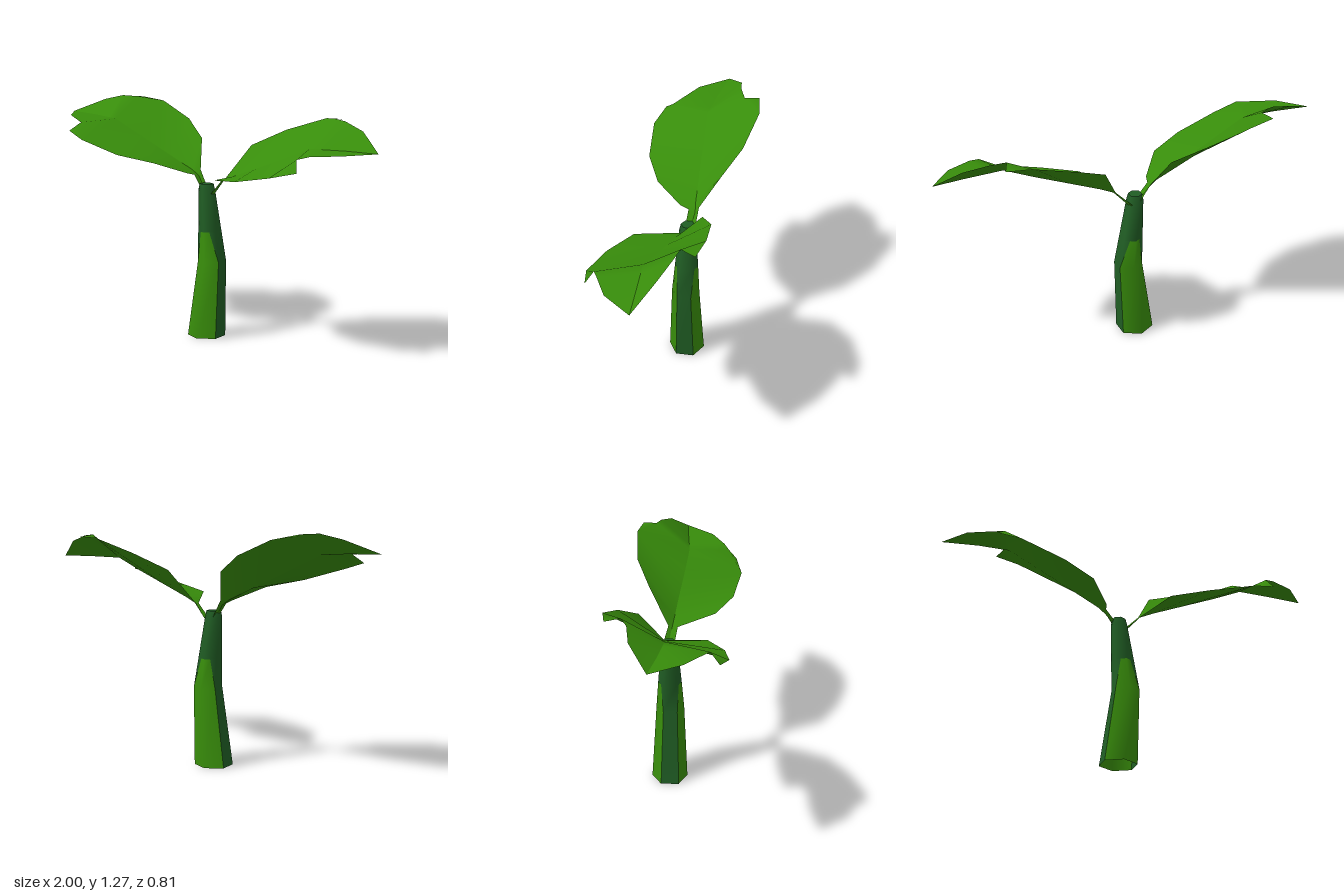
import * as THREE from 'three';
import { mergeVertices } from 'three/addons/utils/BufferGeometryUtils.js';

const leafGreen = new THREE.MeshStandardMaterial({ color: 0x388d0b, side: THREE.DoubleSide });
leafGreen.name = 'leafGreen';
const stemGreen = new THREE.MeshStandardMaterial({ color: 0x205d24, side: THREE.DoubleSide });
stemGreen.name = 'stemGreen';

function meshFrom(triangles, material, name) {
  const raw = new THREE.BufferGeometry();
  raw.setAttribute('position', new THREE.Float32BufferAttribute(triangles.flat(2), 3));
  const geo = mergeVertices(raw);
  geo.computeVertexNormals();
  const mesh = new THREE.Mesh(geo, material);
  mesh.name = name;
  return mesh;
}

// One side of a leaf, between midrib and edge, with a spike beside its notch
function leafHalf(rib, edge, spike, notchRow, flip, name) {
  const triangles = [];
  const tri = (a, b, c) => triangles.push(flip ? [a, c, b] : [a, b, c]);
  for (let i = 0; i < rib.length - 1; i++) {
    tri(edge[i], rib[i], edge[i + 1]);
    tri(rib[i], rib[i + 1], edge[i + 1]);
  }
  tri(edge[notchRow - 1], edge[notchRow], spike);
  return meshFrom(triangles, leafGreen, name);
}

// Leaf rows hold back edge, midrib and front edge, from stalk to tip
function makeLeaf(rows, spikes, flip, name) {
  const leaf = new THREE.Group();
  leaf.name = name;
  const [back, rib, front] = [0, 1, 2].map((j) => rows.map((row) => row[j]));
  leaf.add(leafHalf(rib, back, spikes[0], 6, flip, 'backHalf'));
  leaf.add(leafHalf(rib, front, spikes[1], 6, !flip, 'frontHalf'));
  return leaf;
}

// Stem: bent six-sided tube, open below, with streaks rising at front and back
function makeStem() {
  const group = new THREE.Group();
  group.name = 'stem';
  const turn = -0.1;
  const widest = Math.sin((2 * Math.PI) / 3 + turn);
  // y, centre x, centre z, half width, half depth
  const rings = [
    [0, -0.035, -0.055, 0.094, 0.097],
    [0.42, 0.002, -0.048, 0.069, 0.075],
    [0.58, -0.013, -0.051, 0.057, 0.063],
    [0.8, -0.034, -0.055, 0.041, 0.045],
    [0.835, -0.035, -0.056, 0.034, 0.038],
  ].map(([y, cx, cz, w, d]) => Array.from({ length: 6 }, (_, k) => {
    const a = (k * Math.PI) / 3 + turn;
    return [cx + (w * Math.sin(a)) / widest, y, cz + d * Math.cos(a)];
  }));
  const mid = (p, q) => p.map((v, i) => (v + q[i]) / 2);
  const streak = [], body = [];
  for (let r = 0; r < rings.length - 1; r++) {
    for (let k = 0; k < 6; k++) {
      const n = (k + 1) % 6;
      const a = rings[r][k], b = rings[r][n], c = rings[r + 1][n], d = rings[r + 1][k];
      const side = k === 1 || k === 4;
      if (r === 1 && !side) {
        // streak narrows to a blunt end
        const m = mid(c, d);
        if (k % 3 === 0) {
          streak.push([a, b, m], [a, m, d]);
          body.push([b, c, m]);
        } else {
          streak.push([a, b, c], [a, c, m]);
          body.push([a, m, d]);
        }
      } else {
        (r === 0 && !side ? streak : body).push([a, b, c], [a, c, d]);
      }
    }
  }
  group.add(meshFrom(body, stemGreen, 'stemBody'));
  group.add(meshFrom(streak, leafGreen, 'stemStreaks'));
  const top = rings[4];
  const cap = [1, 2, 3, 4].map((k) => [top[0], top[k], top[k + 1]]);
  group.add(meshFrom(cap, stemGreen, 'stemTop'));
  return group;
}

export function createModel() {
  const model = new THREE.Group();
  model.name = 'sprout';
  model.add(makeStem());

  model.add(makeLeaf([
    [[0, 0.79, -0.09], [0, 0.77, -0.065], [0, 0.78, -0.03]],
    [[0.08, 0.87, -0.05], [0.08, 0.86, -0.03], [0.08, 0.86, 0]],
    [[0.19, 1.045, -0.14], [0.15, 0.89, -0.01], [0.15, 0.895, 0.21]],
    [[0.37, 1.13, -0.19], [0.3, 0.945, 0.03], [0.32, 0.91, 0.33]],
    [[0.6, 1.2, -0.175], [0.48, 1.01, 0.08], [0.54, 0.95, 0.405]],
    [[0.6, 1.2, -0.175], [0.63, 1.07, 0.12], [0.54, 0.95, 0.405]],
    [[0.69, 1.21, -0.06], [0.63, 1.07, 0.12], [0.66, 1.04, 0.35]],
    [[0.76, 1.2, -0.03], [0.7, 1.07, 0.125], [0.72, 1.055, 0.33]],
    [[0.88, 1.16, 0.04], [0.83, 1.07, 0.135], [0.86, 1.06, 0.28]],
    [[1, 1.065, 0.15], [1, 1.065, 0.15], [1, 1.065, 0.15]],
  ], [[0.73, 1.2, -0.13], [0.68, 0.98, 0.395]], false, 'leftLeaf'));

  model.add(makeLeaf([
    [[-0.04, 0.79, -0.09], [-0.035, 0.775, -0.06], [-0.04, 0.78, -0.035]],
    [[-0.1, 0.9, -0.11], [-0.1, 0.87, -0.09], [-0.11, 0.88, -0.055]],
    [[-0.15, 1.06, -0.22], [-0.14, 0.9, -0.09], [-0.13, 0.89, -0.01]],
    [[-0.29, 1.155, -0.33], [-0.28, 0.97, -0.1], [-0.26, 0.95, 0.12]],
    [[-0.5, 1.245, -0.41], [-0.47, 1.065, -0.115], [-0.45, 0.99, 0.18]],
    [[-0.5, 1.245, -0.41], [-0.65, 1.155, -0.13], [-0.68, 1.06, 0.17]],
    [[-0.62, 1.27, -0.33], [-0.65, 1.155, -0.13], [-0.75, 1.145, 0.07]],
    [[-0.71, 1.275, -0.31], [-0.7, 1.16, -0.145], [-0.75, 1.145, 0.07]],
    [[-0.83, 1.25, -0.31], [-0.81, 1.17, -0.175], [-0.91, 1.17, -0.07]],
    [[-1, 1.18, -0.24], [-1, 1.18, -0.24], [-1, 1.18, -0.24]],
  ], [[-0.635, 1.265, -0.41], [-0.8, 1.1, 0.11]], true, 'rightLeaf'));

  return model;
}
